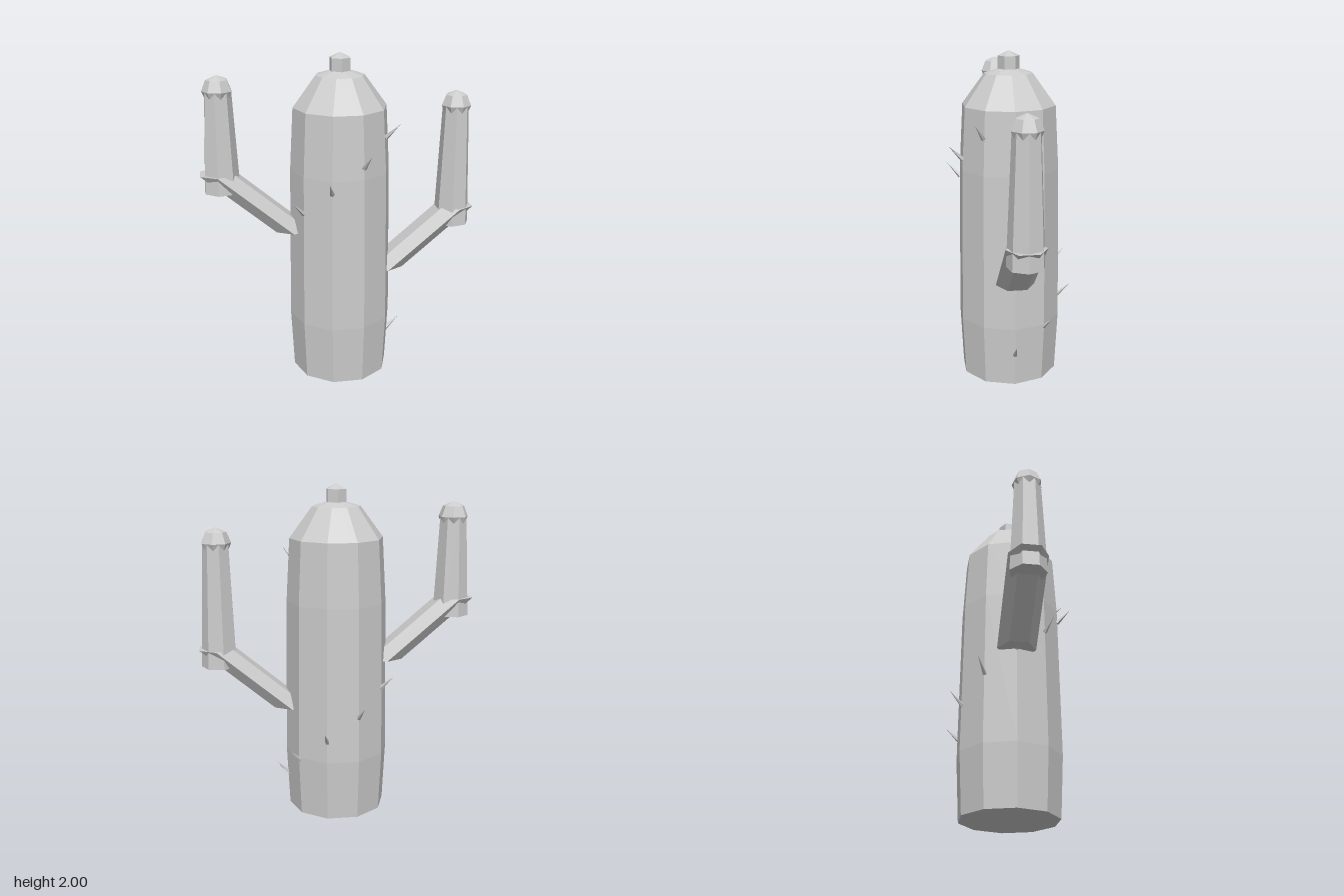
import * as THREE from 'three';

const material = new THREE.MeshStandardMaterial({ color: 0xcccccc, flatShading: true });
material.name = 'plain grey';

function add(parent, name, geometry, x = 0, y = 0, z = 0) {
  const mesh = new THREE.Mesh(geometry, material);
  mesh.name = name;
  mesh.position.set(x, y, z);
  parent.add(mesh);
  return mesh;
}

// Upright tapered prism standing on y = 0; "start" turns its first corner
function prism(rTop, rBottom, height, sides, start = 0) {
  return new THREE.CylinderGeometry(rTop, rBottom, height, sides, 1, false, start)
    .translate(0, height / 2, 0);
}

// Arm: slanted branch with level ends, upright column and rounded cap
function makeArm(name, { rootX, rootY, elbowX, elbowY, columnX, columnY, topY }) {
  const arm = new THREE.Group();
  arm.name = name;
  const rise = elbowY - rootY;
  const slant = (elbowX - rootX) / rise;
  const shear = new THREE.Matrix4().set(
    1, slant, 0, 0,
    0, 1, 0, 0,
    0, 0, 1, 0,
    0, 0, 0, 1);
  add(arm, 'branch', prism(0.115, 0.115, rise, 6).applyMatrix4(shear), rootX, rootY);
  add(arm, 'column', prism(0.08, 0.11, topY - columnY, 7, Math.PI / 2), columnX, columnY);
  add(arm, 'cap', new THREE.SphereGeometry(0.09, 7, 4), columnX, topY);
  return arm;
}

export function createModel() {
  const cactus = new THREE.Group();
  cactus.name = 'cactus';

  // Ten-sided trunk with sloping shoulder
  const profile = [
    [0, 0], [0.297, 0], [0.315, 0.37], [0.302, 1.31],
    [0.281, 1.685], [0.145, 1.87], [0.06, 1.895], [0, 1.895],
  ].map(([r, y]) => new THREE.Vector2(r, y));
  add(cactus, 'trunk', new THREE.LatheGeometry(profile, 10, Math.PI / 2), 0.002);

  // Bud on top
  add(cactus, 'bud', prism(0.064, 0.064, 0.08, 6), 0.002, 1.89);
  add(cactus, 'budTip', prism(0, 0.064, 0.03, 6), 0.002, 1.97);

  // Arms
  cactus.add(makeArm('leftArm', {
    rootX: 0.288, rootY: 0.655, elbowX: 0.732, elbowY: 1.03,
    columnX: 0.713, columnY: 0.92, topY: 1.665,
  }));
  cactus.add(makeArm('rightArm', {
    rootX: -0.295, rootY: 0.937, elbowX: -0.732, elbowY: 1.31,
    columnX: -0.708, columnY: 1.2, topY: 1.8,
  }));

  // Spines spiralling down the trunk corners, each leaning outward and up
  const up = new THREE.Vector3(0, 1, 0);
  for (let i = 1; i <= 10; i++) {
    const angle = i * Math.PI / 5;
    const outward = new THREE.Vector3(Math.cos(angle), 0, Math.sin(angle));
    const base = outward.clone().multiplyScalar(0.3).setY(1.678 - 0.148 * i);
    const tip = outward.clone().multiplyScalar(0.387).setY(base.y + 0.085);
    const direction = tip.clone().sub(base);
    const spine = add(cactus, 'spine' + i, prism(0, 0.015, direction.length(), 5), base.x, base.y, base.z);
    spine.quaternion.setFromUnitVectors(up, direction.normalize());
  }

  return cactus;
}
